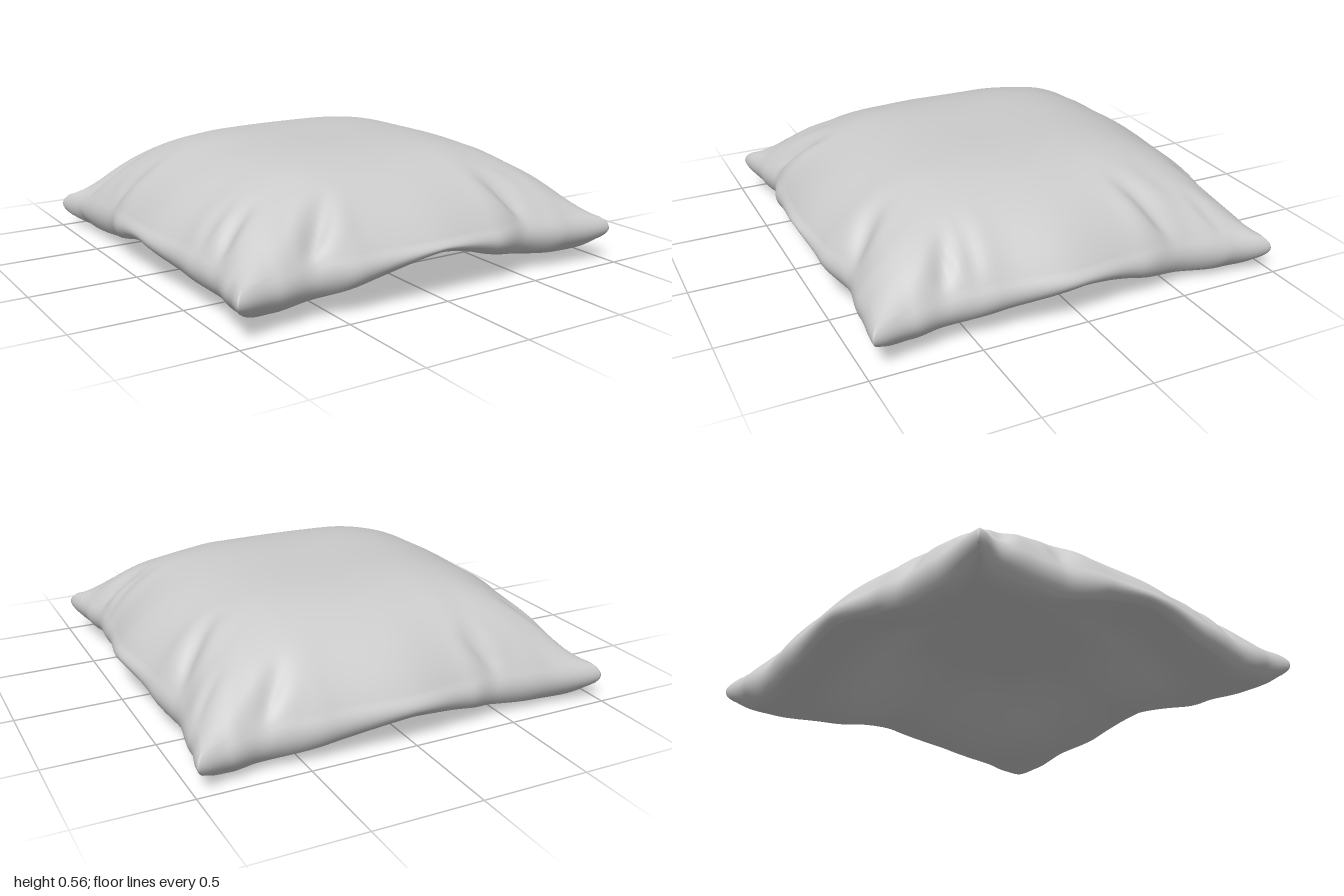
import * as THREE from 'three';
import { mergeVertices } from 'three/addons/utils/BufferGeometryUtils.js';

const { lerp, smoothstep } = THREE.MathUtils;

// Half-extent of each side as [position along the side, distance from centre]
const OUTLINE = {
  right: [[-1, 0.985], [-0.8, 0.95], [-0.55, 0.915], [-0.3, 0.955], [0.05, 0.995], [0.4, 0.95], [0.65, 0.93], [0.8, 0.955], [1, 0.985]],
  left: [[-1, 1.0], [-0.85, 0.955], [-0.5, 0.94], [-0.25, 0.985], [0.08, 0.995], [0.4, 0.96], [0.68, 0.94], [0.85, 0.965], [1, 0.99]],
  front: [[-1, 0.97], [-0.8, 0.94], [-0.62, 0.915], [-0.4, 0.96], [0, 0.99], [0.3, 0.97], [0.54, 0.915], [0.75, 0.945], [1, 0.97]],
  back: [[-1, 0.98], [-0.7, 0.95], [-0.45, 0.94], [-0.3, 0.965], [0, 1.0], [0.4, 0.97], [0.7, 0.94], [0.85, 0.965], [1, 0.985]],
};

// Folds running inwards from the sides: x, z at the side, x, z inside, depth
const FOLDS = [
  [-0.64, 1.0, -0.44, 0.72, 0.035], [0.55, 1.0, 0.4, 0.74, 0.035],
  [1.0, 0.66, 0.74, 0.56, 0.03], [1.0, 0.5, 0.7, 0.49, 0.015],
  [1.0, -0.52, 0.68, -0.34, 0.035], [1.0, -0.8, 0.8, -0.68, 0.015],
  [-1.0, 0.67, -0.74, 0.6, 0.03], [-1.0, 0.5, -0.78, 0.51, 0.015],
  [-1.0, -0.48, -0.76, -0.34, 0.025], [-1.0, -0.84, -0.72, -0.62, 0.025],
  [-0.48, -1.0, -0.36, -0.82, 0.025], [0.7, -1.0, 0.54, -0.78, 0.025],
];

// Smooth interpolation through a list of [t, value]
function along(list, t) {
  let i = 0;
  while (i < list.length - 2 && t > list[i + 1][0]) i++;
  const [a, b] = [list[i], list[i + 1]];
  return lerp(a[1], b[1], smoothstep(t, a[0], b[0]));
}

// Total depth of the folds at a point
function foldDepth(u, v) {
  let d = 0;
  for (const [x0, z0, x1, z1, depth] of FOLDS) {
    const dx = x1 - x0, dz = z1 - z0;
    const len2 = dx * dx + dz * dz;
    const t = ((u - x0) * dx + (v - z0) * dz) / len2;
    const side = ((u - x0) * dz - (v - z0) * dx) / Math.sqrt(len2);
    const fade = smoothstep(t, -0.1, 0.35) * (1 - smoothstep(t, 0.4, 1.2));
    d += depth * fade * Math.exp(-((side / 0.04) ** 2));
    // soft swelling beside each fold
    d -= 0.25 * depth * fade * Math.exp(-(((Math.abs(side) - 0.09) / 0.05) ** 2));
  }
  return d;
}

// Domed upper face with full corners
function topHeight(u, v) {
  const corner = u * u * v * v;
  const dome = (1 - Math.abs(u) ** 3.5) * (1 - Math.abs(v) ** 3.5);
  return 0.24 + 0.02 * v - 0.045 * corner + (0.325 - 0.02 * v + 0.25 * corner) * dome - foldDepth(u, v);
}

// Lowest line of the underside, arched between the corners
function lipHeight(u, v) {
  const r2 = u * u + v * v + 1e-6;
  const front = smoothstep(v, -0.5, 0.5);
  const middle = lerp(0.15, lerp(0.115, 0.2, front), v * v / r2);
  return lerp(middle, 0.045 * front, (2 * Math.abs(u * v) / r2) ** 1.5);
}

// Vaulted underside rising inside the rolled lip
function bottomHeight(u, v) {
  const lip = lipHeight(u, v);
  const hollow = lerp(0.34, lip, smoothstep((u ** 4 + v ** 4) ** 0.25, 0.28, 0.88));
  const inside = (1 - Math.abs(u) ** 18) * (1 - Math.abs(v) ** 18);
  return lerp(lip + 0.01 + 0.06 * u * u * v * v, hollow, inside);
}

export function createModel() {
  const group = new THREE.Group();
  group.name = 'cushion';

  // A subdivided box whose faces become the top, underside and rounded rim
  let geo = new THREE.BoxGeometry(2, 2, 2, 96, 8, 96);
  geo.deleteAttribute('uv');
  geo.deleteAttribute('normal');
  geo = mergeVertices(geo, 1e-4);
  const pos = geo.attributes.position;
  const denser = (t) => t * (1.3 - 0.3 * t * t);
  for (let i = 0; i < pos.count; i++) {
    const u = denser(pos.getX(i)), v = denser(pos.getZ(i)), h = pos.getY(i);
    const ex = along(u > 0 ? OUTLINE.right : OUTLINE.left, v);
    const ez = along(v > 0 ? OUTLINE.front : OUTLINE.back, u);
    const tuck = 0.03 * h * h;
    pos.setXYZ(i,
      u * ex * (1 - tuck * u ** 6),
      lerp(bottomHeight(u, v), topHeight(u, v), (h + 1) / 2),
      v * ez * (1 - tuck * v ** 6));
  }

  // Rest on the ground
  geo.computeBoundingBox();
  geo.translate(0, -geo.boundingBox.min.y, 0);
  geo.computeVertexNormals();

  const pillow = new THREE.Mesh(geo, new THREE.MeshStandardMaterial({ color: 0xcccccc }));
  pillow.name = 'pillow';
  group.add(pillow);
  return group;
}
